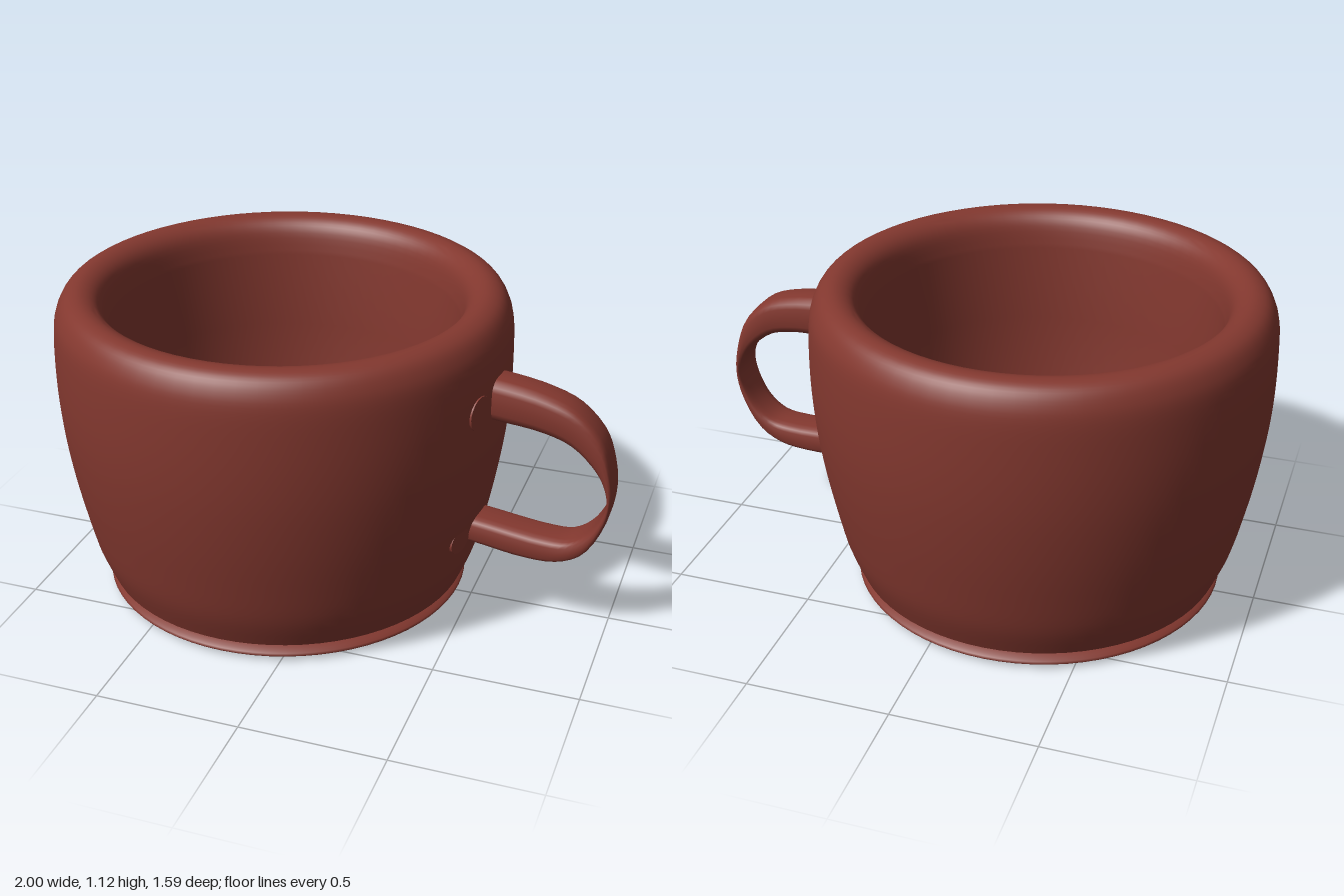
import * as THREE from 'three';
import { toCreasedNormals } from 'three/addons/utils/BufferGeometryUtils.js';

const CX = -0.205; // axis of the cup

function named(name, geometry, material) {
  const mesh = new THREE.Mesh(geometry, material);
  mesh.name = name;
  return mesh;
}

const points = (list) => list.map(([x, y]) => new THREE.Vector2(x, y));

// Smooth strap lofted between an outer and an inner edge curve
function strapGeometry(outer, inner, halfWidth) {
  const curve = (list) => new THREE.CatmullRomCurve3(list.map(([x, y]) => new THREE.Vector3(x, y, 0)));
  const a = curve(outer), b = curve(inner);
  const rings = 40, sides = 20;
  const position = [], index = [];
  for (let i = 0; i <= rings; i++) {
    const p = a.getPoint(i / rings), q = b.getPoint(i / rings);
    const mid = p.clone().add(q).multiplyScalar(0.5);
    const half = p.clone().sub(q).multiplyScalar(0.5);
    for (let j = 0; j < sides; j++) {
      const t = (j / sides) * Math.PI * 2;
      const c = Math.sign(Math.cos(t)) * Math.abs(Math.cos(t)) ** 0.6;
      const s = Math.sign(Math.sin(t)) * Math.abs(Math.sin(t)) ** 0.6;
      const x = mid.x + half.x * c;
      // the strap drifts slightly forwards as it leaves the cup
      position.push(x, mid.y + half.y * c, 0.075 + (x - 0.58) * 0.1 + halfWidth * s);
    }
  }
  for (let i = 0; i < rings; i++) {
    for (let j = 0; j < sides; j++) {
      const k = (j + 1) % sides;
      const p = i * sides + j, q = i * sides + k;
      index.push(p, q, p + sides, q, q + sides, p + sides);
    }
  }
  const geometry = new THREE.BufferGeometry();
  geometry.setAttribute('position', new THREE.Float32BufferAttribute(position, 3));
  geometry.setIndex(index);
  geometry.computeVertexNormals();
  return geometry;
}

export function createModel() {
  const group = new THREE.Group();
  group.name = 'cup';
  const clay = new THREE.MeshStandardMaterial({ color: 0x83382f, side: THREE.DoubleSide });
  clay.name = 'red clay';

  // Body: outer wall, rounded lip, inner wall and floor in one turned profile
  const wall = new THREE.SplineCurve(points([
    [0.655, 0.065], [0.7, 0.18], [0.733, 0.32], [0.762, 0.47], [0.783, 0.62], [0.793, 0.75],
    [0.795, 0.88], [0.79, 1.0], [0.774, 1.06], [0.745, 1.1], [0.7, 1.115],
    [0.655, 1.1], [0.626, 1.06], [0.61, 0.98],
  ])).getPoints(52);
  const profile = [...points([[0, 0.065]]), ...wall, ...points([[0.605, 0.7], [0.585, 0.4], [0.53, 0.1], [0, 0.1]])];
  const body = named('body', toCreasedNormals(new THREE.LatheGeometry(profile, 72), 0.6), clay);
  body.position.x = CX;
  group.add(body);

  // Foot: flattened ring under the body, joined by a narrow neck
  const foot = named('footRing', new THREE.LatheGeometry(
    new THREE.SplineCurve(points([
      [0.53, 0.028], [0.555, 0.006], [0.59, 0], [0.63, 0.007], [0.656, 0.022],
      [0.63, 0.04], [0.59, 0.052], [0.555, 0.05], [0.53, 0.028],
    ])).getPoints(24), 72), clay);
  foot.position.x = CX;
  group.add(foot);
  const neck = named('footNeck', new THREE.CylinderGeometry(0.54, 0.54, 0.04, 72, 1, true), clay);
  neck.position.set(CX, 0.05, 0);
  group.add(neck);

  // Handle: thick at both roots and thin at the outermost point
  group.add(named('handle', strapGeometry(
    [[0.45, 0.925], [0.6, 0.92], [0.75, 0.9], [0.86, 0.862], [0.95, 0.775], [0.985, 0.68], [1.0, 0.57],
      [0.982, 0.46], [0.91, 0.33], [0.82, 0.282], [0.7, 0.272], [0.55, 0.285], [0.43, 0.295]],
    [[0.45, 0.78], [0.6, 0.768], [0.75, 0.758], [0.85, 0.73], [0.93, 0.665], [0.968, 0.61], [0.982, 0.56],
      [0.969, 0.5], [0.93, 0.43], [0.87, 0.382], [0.79, 0.372], [0.7, 0.378], [0.55, 0.388], [0.43, 0.395]].filter((p, i) => i !== 11),
    0.075), clay));

  // Small plugs showing almost flush in the wall beside each handle root
  const plugs = [
    { name: 'upperPlug', y: 0.842, z: 0.225, radius: 0.797, height: 0.12, width: 0.125 },
    { name: 'lowerPlug', y: 0.342, z: 0.215, radius: 0.741, height: 0.085, width: 0.11 },
  ];
  for (const { name, y, z, radius, height, width } of plugs) {
    const geometry = new THREE.CylinderGeometry(0.5, 0.5, 0.08, 20);
    geometry.rotateZ(-Math.PI / 2);
    geometry.scale(1, height, width);
    const plug = named(name, geometry, clay);
    const angle = Math.asin(z / radius);
    const reach = radius - 0.038;
    plug.position.set(CX + Math.cos(angle) * reach, y, Math.sin(angle) * reach);
    plug.rotation.y = -angle;
    group.add(plug);
  }
  return group;
}
